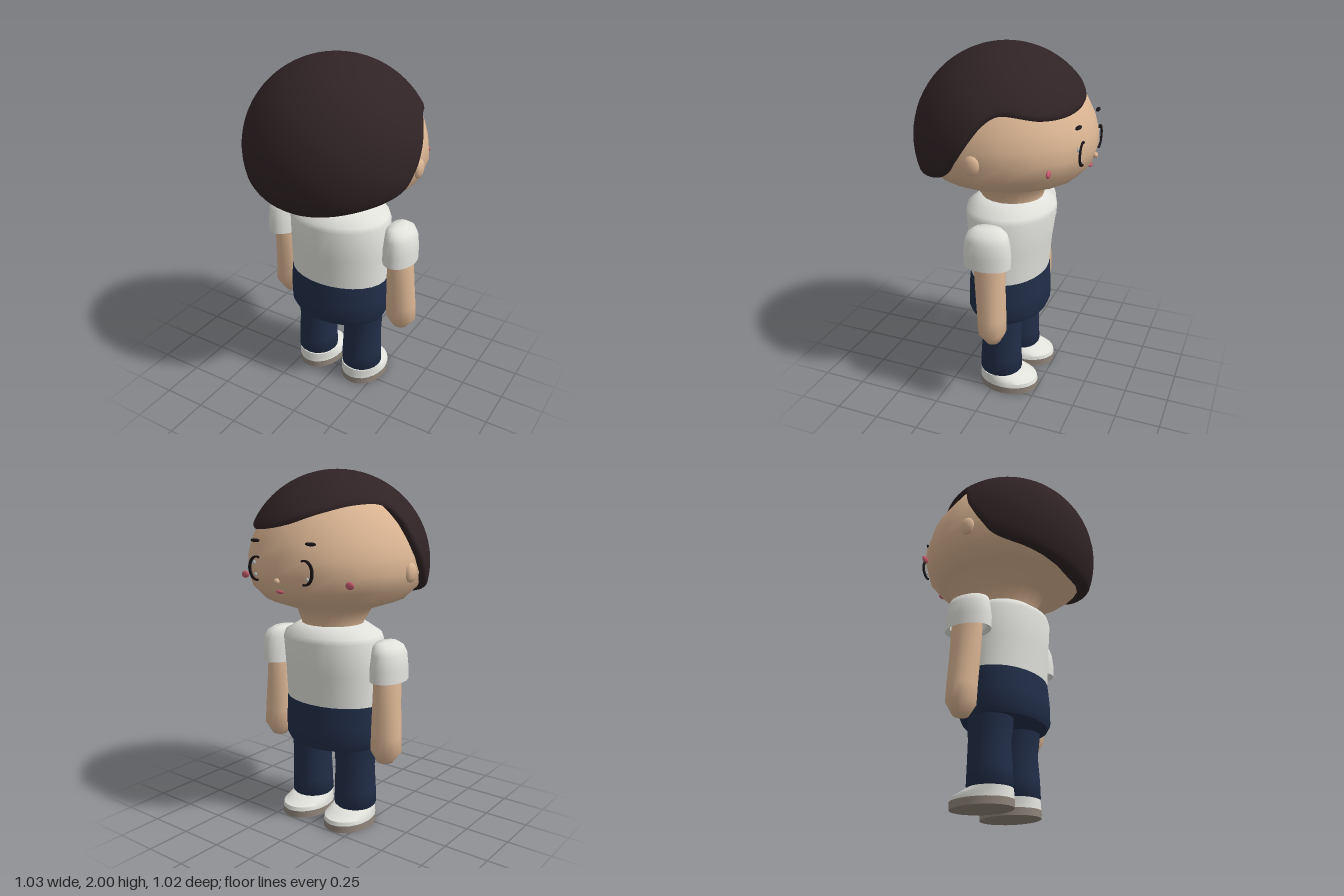
import * as THREE from 'three';
import { toCreasedNormals } from 'three/addons/utils/BufferGeometryUtils.js';

const material = (name, color, side = THREE.FrontSide) => {
  const m = new THREE.MeshStandardMaterial({ color, side });
  m.name = name;
  return m;
};

// Skin a grid of points: rows run bottom to top, each row goes round +x to +z.
function skinRows(rows, crease) {
  const pos = [];
  const tri = (a, b, c) => {
    const n = new THREE.Vector3().crossVectors(b.clone().sub(a), c.clone().sub(a));
    if (n.length() > 1e-9) pos.push(...a.toArray(), ...b.toArray(), ...c.toArray());
  };
  for (let i = 0; i < rows.length - 1; i++) {
    for (let j = 0; j < rows[i].length - 1; j++) {
      const a = rows[i][j], b = rows[i][j + 1], c = rows[i + 1][j], d = rows[i + 1][j + 1];
      tri(a, c, b);
      tri(b, c, d);
    }
  }
  const g = new THREE.BufferGeometry();
  g.setAttribute('position', new THREE.Float32BufferAttribute(pos, 3));
  return toCreasedNormals(g, crease);
}

// Elliptical cross-sections [y, rx, rz, cz, cx]
function loft(rings, segments = 24, crease = 0.75) {
  const rows = rings.map(([y, rx, rz, cz = 0, cx = 0]) => {
    const row = [];
    for (let j = 0; j <= segments; j++) {
      const t = ((j % segments) / segments) * Math.PI * 2;
      row.push(new THREE.Vector3(cx + rx * Math.cos(t), y, cz + rz * Math.sin(t)));
    }
    return row;
  });
  return skinRows(rows, crease);
}

// Hair cap: a dome whose lower edge follows a swept fringe [degrees, y]
function hairGeometry() {
  const line = [
    [-180, 1.62], [-174, 1.74], [-165, 1.81], [-140, 1.82], [-112, 1.775], [-90, 1.72],
    [-65, 1.69], [-45, 1.69], [-17, 1.72], [-8, 1.68], [0, 1.6], [10, 1.48], [18, 1.4],
    [45, 1.33], [90, 1.275], [135, 1.33], [162, 1.4], [170, 1.48], [180, 1.62],
  ];
  const curve = new THREE.CatmullRomCurve3(line.map(([d, y]) => new THREE.Vector3(d / 90, y, 0)));
  const columns = curve.getPoints(144);
  const steps = 20;
  const at = (p, y, k) => {
    const t = (p.x * Math.PI) / 2;
    const c = Math.sqrt(Math.max(0, 1 - ((y - 1.5) / 0.5) ** 2)) * k;
    return new THREE.Vector3(0.52 * c * Math.cos(t), y, 0.01 + 0.5 * c * Math.sin(t));
  };
  const rows = [
    columns.map((p) => at(p, p.y + 0.05, 0.7)),
    columns.map((p) => at(p, p.y + 0.004, 0.93)),
    columns.map((p) => at(p, p.y, 0.965)),
    columns.map((p) => at(p, p.y + 0.012, 0.99)),
  ];
  for (let i = 0; i <= steps; i++) {
    rows.push(columns.map((p) => {
      const low = Math.asin((p.y + 0.03 - 1.5) / 0.5);
      const phi = low + (Math.PI / 2 - low) * (i / steps);
      return at(p, 1.5 + 0.5 * Math.sin(phi), 1);
    }));
  }
  return skinRows(rows, 1.2);
}

// Thin crescent around the outer side of an eye
function crescentGeometry(side) {
  const s = new THREE.Shape();
  const n = 16, a0 = 1.95, a1 = -1.75;
  for (let i = 0; i <= n; i++) {
    const a = a0 + ((a1 - a0) * i) / n;
    s.lineTo(side * 0.056 * Math.cos(a), 0.066 * Math.sin(a));
  }
  for (let i = n; i >= 0; i--) {
    const a = a0 + ((a1 - a0) * i) / n;
    s.lineTo(side * (0.043 * Math.cos(a) - 0.002), 0.056 * Math.sin(a));
  }
  s.curves.shift();
  return new THREE.ExtrudeGeometry(s, { depth: 0.009, bevelEnabled: false });
}

export function createModel() {
  const root = new THREE.Group();
  root.name = 'child';
  const skin = material('skin', 0xdcb694);
  const hair = material('dark hair', 0x302325);
  const shirt = material('white cloth', 0xe2e2dd, THREE.DoubleSide);
  const navy = material('navy cloth', 0x212e48);
  const sole = material('taupe sole', 0x92877d);
  const blush = material('rose', 0xc25a6c);
  const ink = material('ink', 0x1c1618, THREE.DoubleSide);
  const glint = material('eye glint', 0xb9c4c9);

  const add = (name, geometry, mat, x = 0, y = 0, z = 0) => {
    const m = new THREE.Mesh(geometry, mat);
    m.name = name;
    m.position.set(x, y, z);
    root.add(m);
    return m;
  };
  const blob = (name, mat, p, r, ws = 12, hs = 8) => {
    const m = add(name, new THREE.SphereGeometry(1, ws, hs), mat, ...p);
    m.scale.set(...r);
    return m;
  };

  // Head and neck
  add('head', loft([
    [1.14, 0.175, 0.17, -0.032], [1.17, 0.178, 0.175, -0.03], [1.25, 0.215, 0.22, -0.012],
    [1.31, 0.388, 0.4], [1.385, 0.465, 0.472], [1.47, 0.492, 0.497], [1.55, 0.487, 0.491],
    [1.63, 0.465, 0.469], [1.72, 0.422, 0.425], [1.82, 0.355, 0.355], [1.9, 0.25, 0.25], [1.95, 0, 0],
  ], 20, 1.3), skin);
  add('hair', hairGeometry(), hair);
  blob('nose', skin, [0, 1.442, -0.495], [0.016, 0.016, 0.014]);
  blob('mouth', blush, [0, 1.386, -0.47], [0.027, 0.01, 0.012]);

  // Shirt and hips
  add('shirt', loft([
    [0.72, 0.3, 0.217, -0.018], [0.9, 0.302, 0.232, -0.02], [1.08, 0.303, 0.252, -0.025],
    [1.11, 0.29, 0.246, -0.026], [1.165, 0.19, 0.182, -0.03], [1.165, 0.15, 0.15, -0.03],
  ], 28, 0.9), shirt);
  add('hips', loft([
    [0.465, 0, 0, -0.018], [0.465, 0.285, 0.215, -0.018], [0.5, 0.304, 0.231, -0.017],
    [0.6, 0.308, 0.228, -0.016], [0.72, 0.302, 0.219, -0.018], [0.72, 0.25, 0.18, -0.018],
  ], 28, 0.9), navy);

  for (const side of [1, -1]) {
    const label = side > 0 ? 'left' : 'right';

    // Face details
    blob(label + 'Ear', skin, [side * 0.485, 1.475, 0.003], [0.025, 0.054, 0.044], 8, 6);
    blob(label + 'Cheek', blush, [side * 0.358, 1.435, -0.355], [0.027, 0.02, 0.011]);
    blob(label + 'Brow', ink, [side * 0.187, 1.637, -0.45], [0.034, 0.01, 0.012]).rotation.set(0, side * -0.1, 0);
    add(label + 'Eye', crescentGeometry(side), ink, side * 0.163, 1.495, -0.474);
    blob(label + 'UpperGlint', glint, [side * 0.192, 1.522, -0.456], [0.009, 0.012, 0.007]);
    blob(label + 'LowerGlint', glint, [side * 0.176, 1.462, -0.463], [0.008, 0.009, 0.007]);

    // Sleeve, open at the cuff
    const sx = side * 0.387;
    add(label + 'Sleeve', loft([
      [0.91, 0.075, 0.105, -0.034, sx], [0.89, 0.092, 0.132, -0.034, sx], [0.96, 0.091, 0.133, -0.034, sx],
      [1.035, 0.084, 0.124, -0.034, sx], [1.075, 0.072, 0.11, -0.034, sx - side * 0.008],
      [1.098, 0.045, 0.075, -0.034, sx - side * 0.02], [1.102, 0, 0, -0.034, sx - side * 0.025],
    ], 20, 0.9), shirt);

    // Arm with a mitten hand
    add(label + 'Arm', loft([
      [0.415, 0, 0, -0.065, side * 0.388], [0.425, 0.045, 0.04, -0.065, side * 0.388],
      [0.49, 0.09, 0.076, -0.062, side * 0.393], [0.58, 0.087, 0.079, -0.059, side * 0.391],
      [0.75, 0.079, 0.083, -0.05, side * 0.386], [0.9, 0.07, 0.087, -0.044, side * 0.384],
      [1.0, 0.06, 0.08, -0.04, side * 0.384],
    ], 16, 0.9), skin);

    // Trouser leg
    const lx = side * 0.158;
    add(label + 'Leg', loft([
      [0.095, 0, 0, -0.022, lx], [0.095, 0.11, 0.112, -0.022, lx], [0.108, 0.121, 0.123, -0.022, lx],
      [0.2, 0.119, 0.12, -0.022, lx], [0.34, 0.114, 0.113, -0.026, lx],
      [0.42, 0.12, 0.12, -0.022, lx], [0.52, 0.125, 0.125, -0.018, lx],
    ], 20, 0.9), navy);

    // Shoe, its toe lower than the heel
    const fx = side * 0.155;
    add(label + 'Sole', loft([
      [0, 0, 0, -0.07, fx], [0, 0.136, 0.176, -0.07, fx], [0.04, 0.136, 0.178, -0.07, fx],
    ]), sole);
    add(label + 'Shoe', loft([
      [0.04, 0.134, 0.176, -0.07, fx], [0.062, 0.132, 0.172, -0.068, fx],
      [0.08, 0.126, 0.145, -0.042, fx], [0.098, 0.12, 0.122, -0.022, fx], [0.1, 0, 0, -0.022, fx],
    ]), shirt);
  }
  return root;
}
